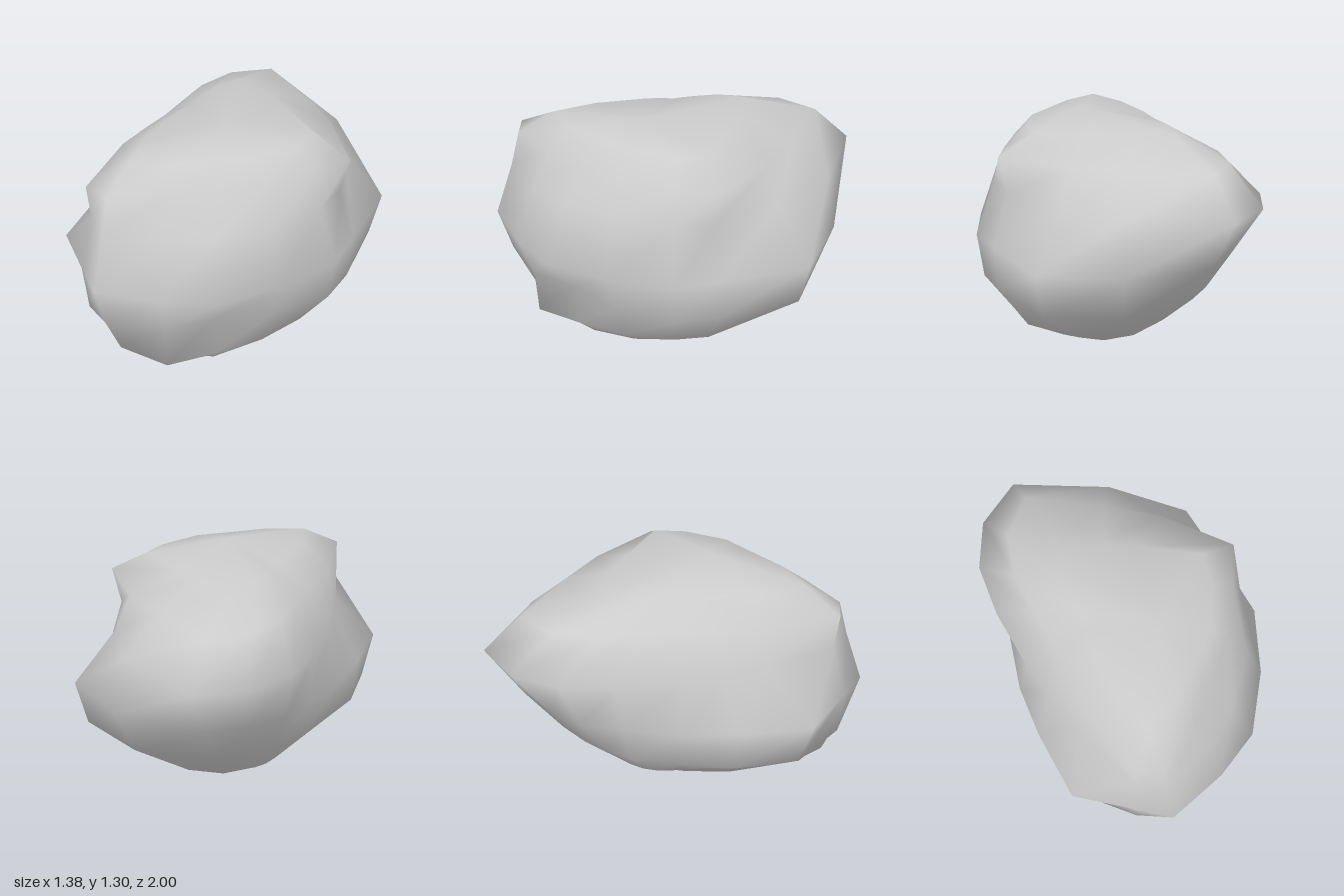
import * as THREE from 'three';

// Directions around the vertical axis, degrees from +x towards +z
const ANGLES = [-5, 10, 33, 55, 72, 92, 102, 125, 150, 180, 218, 237, 252, 268, 300, 326];
const AXIS_X = -0.2;

// Horizontal cross-sections: height, then one radius per direction
const SECTIONS = [
  [0.07, [0.47, 0.52, 0.58, 0.64, 0.62, 0.54, 0.3, 0.06, 0.03, 0.02, 0.03, 0.04, 0.06, 0.09, 0.24, 0.36]],
  [0.18, [0.69, 0.69, 0.7, 0.75, 0.86, 0.82, 0.66, 0.28, 0.17, 0.14, 0.19, 0.23, 0.27, 0.31, 0.48, 0.6]],
  [0.42, [0.86, 0.87, 0.8, 0.76, 0.87, 0.93, 0.88, 0.74, 0.53, 0.4, 0.43, 0.46, 0.53, 0.62, 0.82, 0.94]],
  [0.66, [0.88, 0.905, 0.9, 0.955, 0.955, 1.0, 0.9, 0.81, 0.56, 0.47, 0.5, 0.62, 0.7, 0.81, 0.92, 1.0]],
  [0.95, [0.79, 0.8, 0.8, 0.81, 0.84, 0.9, 0.82, 0.52, 0.41, 0.4, 0.54, 0.74, 0.9, 1.0, 0.87, 0.77]],
  [1.14, [0.84, 0.74, 0.69, 0.66, 0.74, 0.85, 0.84, 0.46, 0.3, 0.25, 0.33, 0.49, 0.67, 0.8, 0.66, 0.69]],
  [1.25, [0.64, 0.62, 0.59, 0.56, 0.6, 0.66, 0.43, 0.17, 0.1, 0.07, 0.1, 0.15, 0.26, 0.4, 0.39, 0.43]],
];
const BOTTOM = [0.04, 0, 0.16];
const TOP = [0.06, 1.305, 0.2];

// Skins the cross-sections and closes both ends with a fan
function boulderGeometry() {
  const n = ANGLES.length;
  const rows = SECTIONS.length;
  const positions = [];
  const index = [];

  for (const [y, radii] of SECTIONS) {
    radii.forEach((r, k) => {
      const a = THREE.MathUtils.degToRad(ANGLES[k]);
      positions.push(AXIS_X + r * Math.cos(a), y, r * Math.sin(a));
    });
  }
  const bottom = n * rows;
  const top = bottom + 1;
  positions.push(...BOTTOM, ...TOP);

  for (let k = 0; k < n; k++) {
    const next = (k + 1) % n;
    for (let row = 0; row < rows - 1; row++) {
      const a = row * n + k;
      const b = row * n + next;
      index.push(a, a + n, b, b, a + n, b + n);
    }
    const last = (rows - 1) * n;
    index.push(bottom, k, next, top, last + next, last + k);
  }

  const geometry = new THREE.BufferGeometry();
  geometry.setAttribute('position', new THREE.Float32BufferAttribute(positions, 3));
  geometry.setIndex(index);
  geometry.computeVertexNormals();
  return geometry;
}

export function createModel() {
  const group = new THREE.Group();
  group.name = 'rock';
  const boulder = new THREE.Mesh(
    boulderGeometry(),
    new THREE.MeshStandardMaterial({ color: 0xcccccc })
  );
  boulder.name = 'boulder';
  group.add(boulder);
  return group;
}
